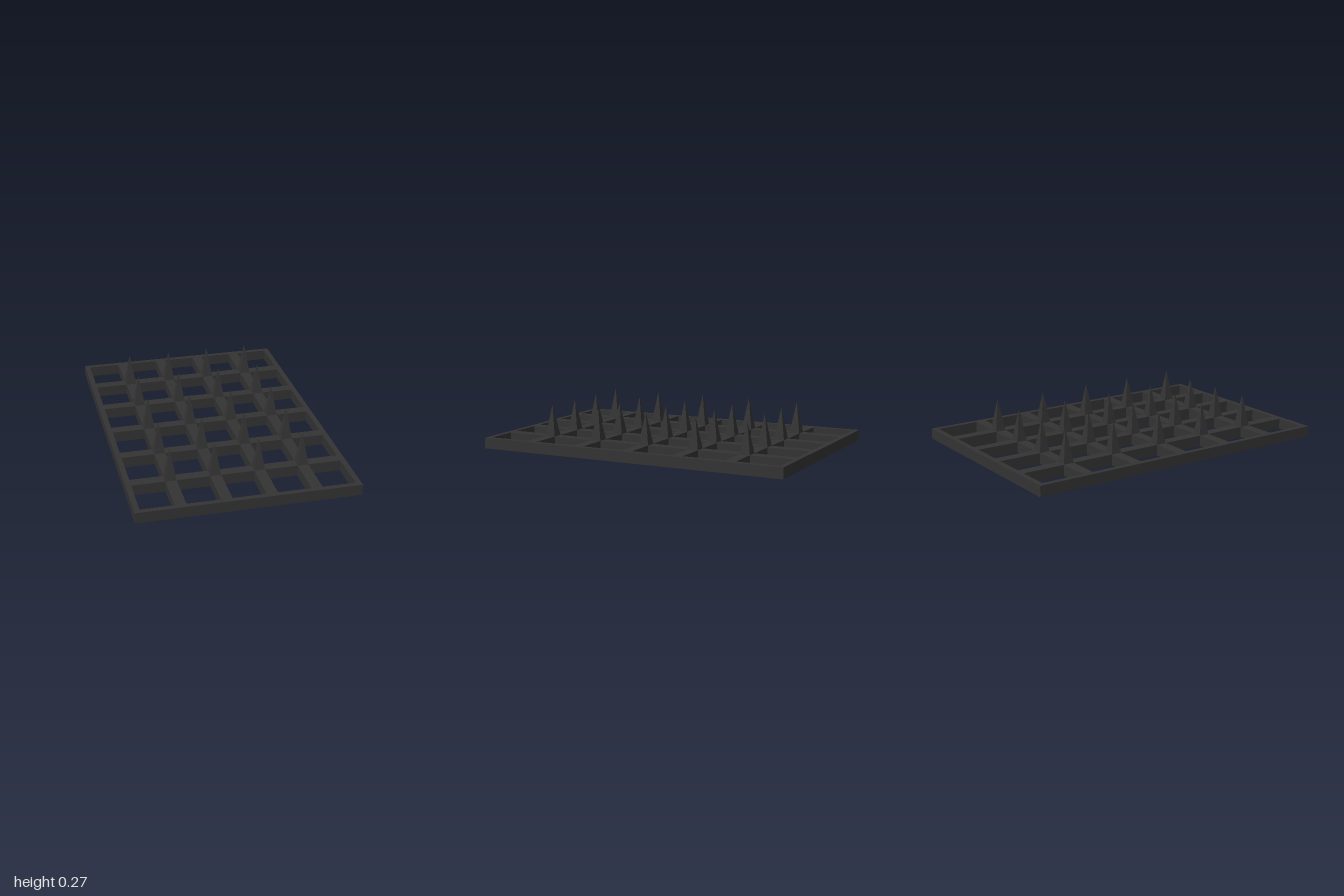
import * as THREE from 'three';

const COLS = 5, ROWS = 6;
const WIDTH = 4 / 3, LENGTH = 2;
const BAR = 1 / 15;               // bar width and thickness
const SPIKE_HEIGHT = 0.2;
const CELL_X = WIDTH / COLS, CELL_Z = LENGTH / ROWS;

// Adds a closed rectangle centred on (cx, cy) to a path
function rect(path, cx, cy, w, h) {
  path.moveTo(cx - w / 2, cy - h / 2);
  path.lineTo(cx + w / 2, cy - h / 2);
  path.lineTo(cx + w / 2, cy + h / 2);
  path.lineTo(cx - w / 2, cy + h / 2);
  path.closePath();
  return path;
}

export function createModel() {
  const model = new THREE.Group();
  model.name = 'spikedGrate';
  const material = new THREE.MeshStandardMaterial({ color: 0x333333, flatShading: true });

  // Flat grate: a slab with a rectangular opening in every cell
  const outline = rect(new THREE.Shape(), 0, 0, WIDTH, LENGTH);
  for (let i = 0; i < COLS; i++) {
    for (let j = 0; j < ROWS; j++) {
      const x = (i + 0.5) * CELL_X - WIDTH / 2;
      const z = (j + 0.5) * CELL_Z - LENGTH / 2;
      outline.holes.push(rect(new THREE.Path(), x, z, CELL_X - BAR, CELL_Z - BAR));
    }
  }
  const grateGeometry = new THREE.ExtrudeGeometry(outline, { depth: BAR, bevelEnabled: false });
  grateGeometry.rotateX(-Math.PI / 2);
  const grate = new THREE.Mesh(grateGeometry, material);
  grate.name = 'grate';
  model.add(grate);

  // Four-sided spikes on every inner crossing
  const spikes = new THREE.Group();
  spikes.name = 'spikes';
  const spikeGeometry = new THREE.ConeGeometry(BAR / Math.SQRT2, SPIKE_HEIGHT, 4, 1, true);
  spikeGeometry.rotateY(Math.PI / 4);
  spikeGeometry.translate(0, BAR + SPIKE_HEIGHT / 2, 0);
  for (let i = 1; i < COLS; i++) {
    for (let j = 1; j < ROWS; j++) {
      const spike = new THREE.Mesh(spikeGeometry, material);
      spike.name = 'spike';
      spike.position.set(i * CELL_X - WIDTH / 2, 0, j * CELL_Z - LENGTH / 2);
      spikes.add(spike);
    }
  }
  model.add(spikes);
  return model;
}
